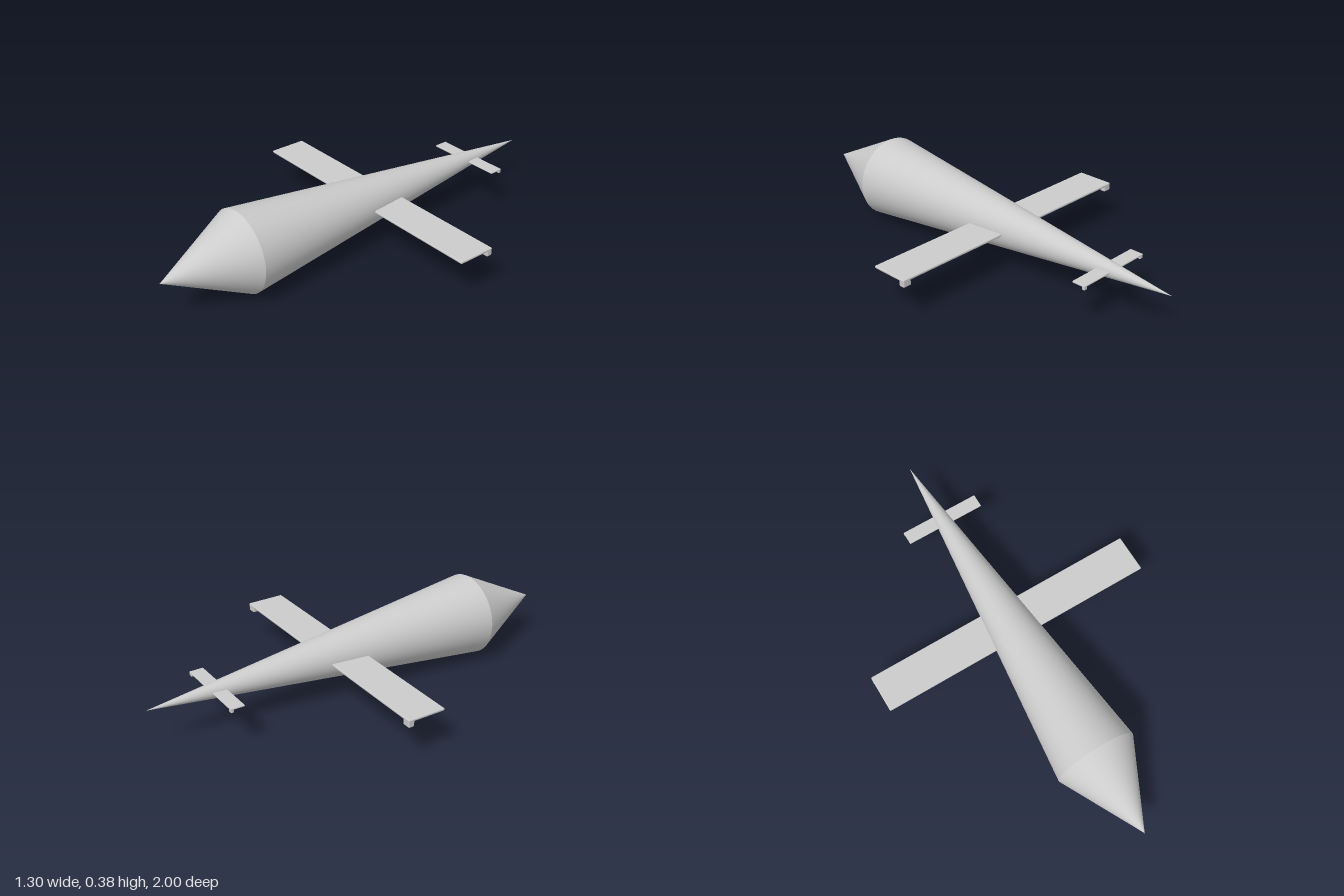
import * as THREE from 'three';
import { RoundedBoxGeometry } from 'three/addons/geometries/RoundedBoxGeometry.js';

const AXIS_Y = 0.19;   // height of the body axis
const RADIUS = 0.1875; // widest body radius
const SHOULDER = 0.625; // z where the nose cone meets the tail cone

export function createModel() {
  const model = new THREE.Group();
  const material = new THREE.MeshStandardMaterial({ color: 0xcccccc });

  const add = (name, geometry, x, y, z) => {
    const mesh = new THREE.Mesh(geometry, material);
    mesh.name = name;
    mesh.position.set(x, y, z);
    model.add(mesh);
    return mesh;
  };

  // Body: two smooth cones joined at the shoulder with a sharp edge
  const cone = (name, tipZ) => {
    const length = Math.abs(tipZ - SHOULDER);
    const geometry = new THREE.ConeGeometry(RADIUS, length, 64, 12, true);
    geometry.rotateX(Math.sign(tipZ) * Math.PI / 2);
    add(name, geometry, 0, AXIS_Y, (tipZ + SHOULDER) / 2);
  };
  cone('noseCone', 1);
  cone('tailCone', -1);

  // Flat plane through the body, with a small block under each rear tip
  const plane = (name, { span, front, back, top, thickness, block }) => {
    const chord = front - back;
    add(name, new RoundedBoxGeometry(span, thickness, chord, 3, thickness * 0.4),
      0, top - thickness / 2, (front + back) / 2);
    const [w, h, d] = block;
    for (const side of [-1, 1]) {
      add(name + (side > 0 ? 'LeftTip' : 'RightTip'),
        new RoundedBoxGeometry(w, h, d, 3, Math.min(w, h, d) * 0.2),
        side * (span - w) / 2, top - h / 2, back + d / 2);
    }
  };
  plane('wing', {
    span: 1.298, front: -0.008, back: -0.184, top: 0.198, thickness: 0.012,
    block: [0.04, 0.036, 0.028],
  });
  plane('tailplane', {
    span: 0.376, front: -0.656, back: -0.72, top: 0.198, thickness: 0.008,
    block: [0.018, 0.02, 0.014],
  });

  return model;
}
